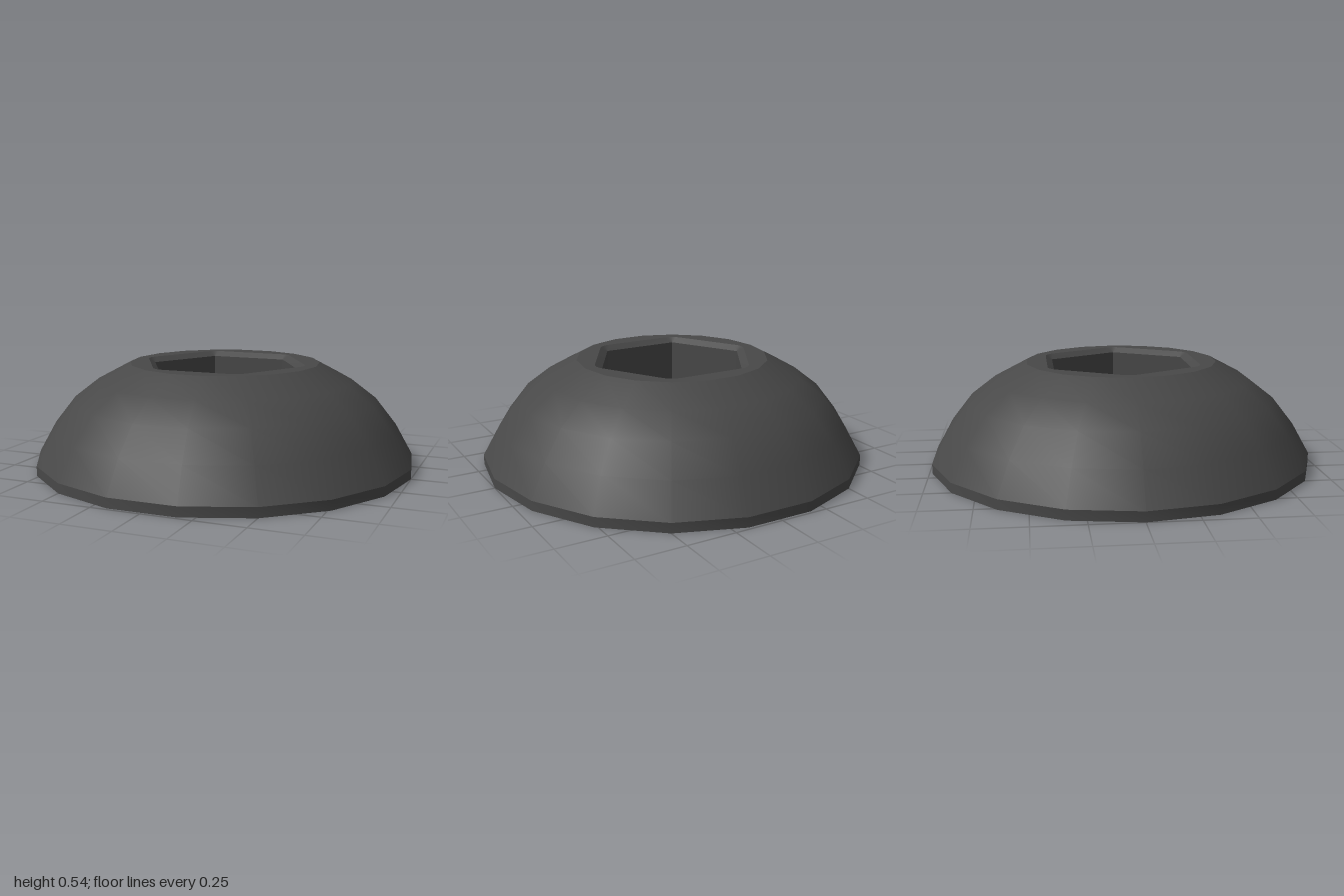
import * as THREE from 'three';
import { toCreasedNormals } from 'three/addons/utils/BufferGeometryUtils.js';

const SIDES = 18;
const TOP_Y = 0.54, LIP_Y = 0.515, FLOOR_Y = 0.235;
const TOP_R = 0.5, SOCKET_R = 0.41, MOUTH_R = 0.45, FILLET = 0.085;
const ARC_STEPS = 4;

// Hexagon outline with rounded corners; fillet 0 repeats each sharp corner
function hexOutline(radius, fillet) {
  const points = [];
  const centre = radius - fillet * 2 / Math.sqrt(3);
  for (let c = 0; c < 6; c++) {
    const a = c * Math.PI / 3;
    for (let s = 0; s <= ARC_STEPS; s++) {
      const b = a + (s / ARC_STEPS - 0.5) * Math.PI / 3;
      points.push(new THREE.Vector2(
        centre * Math.cos(a) + fillet * Math.cos(b),
        centre * Math.sin(a) + fillet * Math.sin(b)));
    }
  }
  return points;
}

// Inward-facing band between two outlines with matching points
function band(upper, upperY, lower, lowerY) {
  const pos = [];
  const n = upper.length;
  const add = (p, y) => pos.push(p.x, y, -p.y);
  for (let i = 0; i < n; i++) {
    const j = (i + 1) % n;
    if (upper[i].distanceTo(upper[j]) > 1e-6) {
      add(upper[i], upperY); add(upper[j], upperY); add(lower[j], lowerY);
    }
    if (lower[i].distanceTo(lower[j]) > 1e-6) {
      add(upper[i], upperY); add(lower[j], lowerY); add(lower[i], lowerY);
    }
  }
  const geo = new THREE.BufferGeometry();
  geo.setAttribute('position', new THREE.Float32BufferAttribute(pos, 3));
  return toCreasedNormals(geo, 0.4);
}

export function createModel() {
  const group = new THREE.Group();
  group.name = 'domedSocketHead';
  const material = new THREE.MeshStandardMaterial({ color: 0x484848 });
  const add = (name, geometry) => {
    const mesh = new THREE.Mesh(geometry, material);
    mesh.name = name;
    group.add(mesh);
  };

  // Dome with a short upright rim
  const profile = [[1, 0], [1, 0.05], [0.91, 0.21], [0.8, 0.35], [0.67, 0.45], [TOP_R, TOP_Y]]
    .map(([x, y]) => new THREE.Vector2(x, y));
  add('dome', toCreasedNormals(new THREE.LatheGeometry(profile, SIDES, Math.PI / 2), 0.42));

  // Flat underside
  add('underside', new THREE.CircleGeometry(1, SIDES).rotateX(Math.PI / 2));

  // Flat top ring around the socket mouth
  const mouth = hexOutline(MOUTH_R, FILLET);
  const disc = [];
  for (let i = 0; i < SIDES; i++) {
    const a = i / SIDES * Math.PI * 2;
    disc.push(new THREE.Vector2(TOP_R * Math.cos(a), TOP_R * Math.sin(a)));
  }
  const top = new THREE.Shape(disc);
  top.holes.push(new THREE.Path(mouth));
  add('topRing', new THREE.ShapeGeometry(top).rotateX(-Math.PI / 2).translate(0, TOP_Y, 0));

  // Hexagonal socket: chamfer, walls and floor
  const socket = hexOutline(SOCKET_R, 0);
  add('socketChamfer', band(mouth, TOP_Y, socket, LIP_Y));
  add('socketWalls', band(socket, LIP_Y, socket, FLOOR_Y));
  add('socketFloor', new THREE.CircleGeometry(SOCKET_R, 6).rotateX(-Math.PI / 2).translate(0, FLOOR_Y, 0));

  return group;
}
